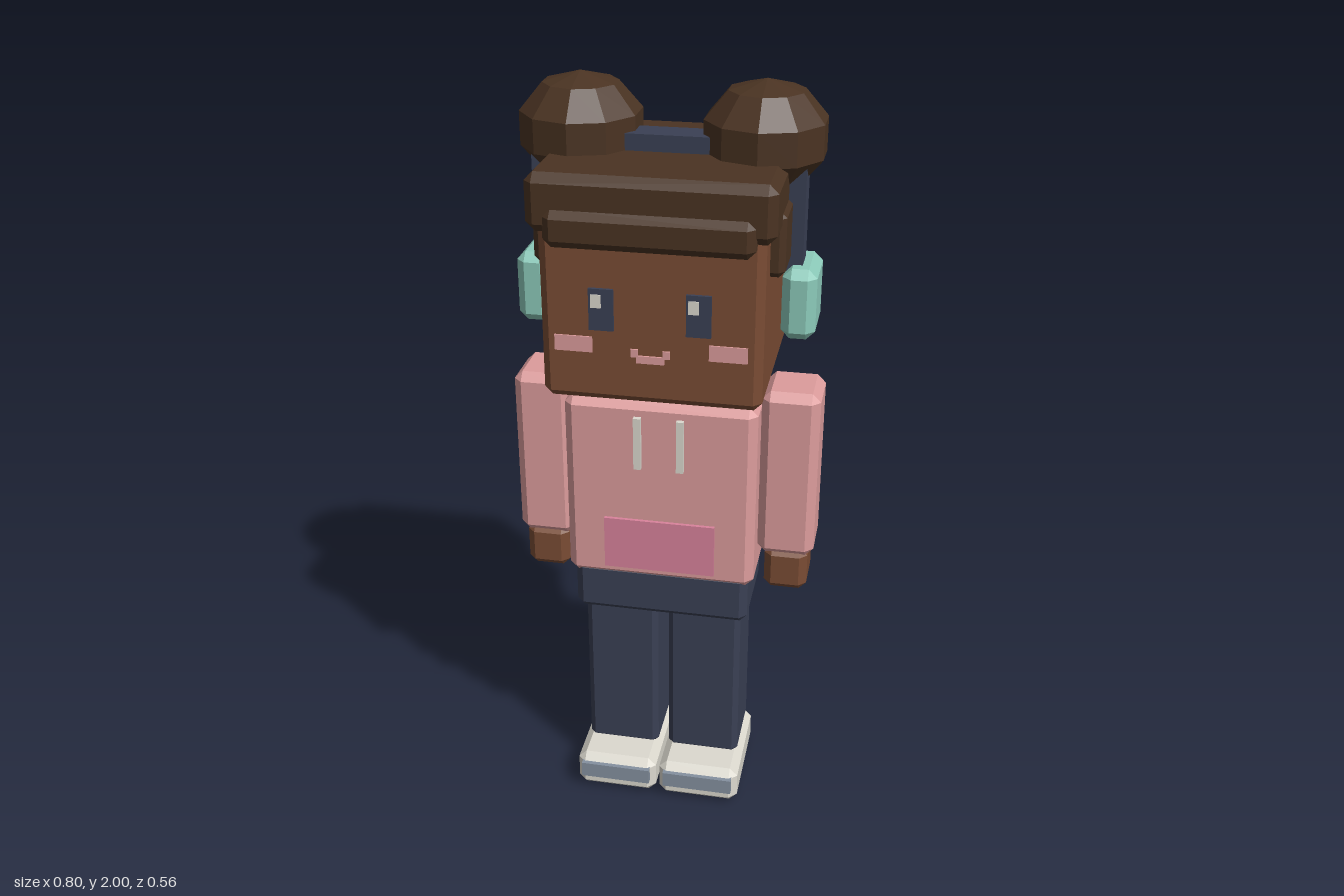
import * as THREE from 'three';
import { ConvexGeometry } from 'three/addons/geometries/ConvexGeometry.js';

const mat = (name, color) => {
  const m = new THREE.MeshStandardMaterial({ color });
  m.name = name;
  return m;
};

// Box with chamfered edges, given by its lower and upper corner
function chamferBox(lo, hi, c) {
  const h = lo.map((v, i) => (hi[i] - v) / 2);
  const pts = [];
  for (const sx of [-1, 1]) for (const sy of [-1, 1]) for (const sz of [-1, 1]) {
    for (let axis = 0; axis < 3; axis++) {
      const p = [sx, sy, sz].map((s, i) => s * (i === axis ? h[i] : h[i] - c));
      pts.push(new THREE.Vector3(...p));
    }
  }
  const g = new ConvexGeometry(pts);
  g.translate(lo[0] + h[0], lo[1] + h[1], lo[2] + h[2]);
  return g;
}

function plainBox(lo, hi) {
  const g = new THREE.BoxGeometry(hi[0] - lo[0], hi[1] - lo[1], hi[2] - lo[2]);
  g.translate((lo[0] + hi[0]) / 2, (lo[1] + hi[1]) / 2, (lo[2] + hi[2]) / 2);
  return g;
}

export function createModel() {
  const group = new THREE.Group();
  const skin = mat('brown skin', 0x7a4c34);
  const hair = mat('dark brown hair', 0x4a3322);
  const pink = mat('pink hoodie', 0xdc9c9c);
  const rose = mat('rose pocket', 0xd9839c);
  const navy = mat('navy', 0x3a4054);
  const teal = mat('teal', 0x8ccaba);
  const white = mat('off white', 0xdcd9cf);
  const slate = mat('slate toe', 0x8591a0);

  const add = (name, geometry, material) => {
    const mesh = new THREE.Mesh(geometry, material);
    mesh.name = name;
    group.add(mesh);
    return mesh;
  };
  // Chamfered part when c > 0, otherwise a sharp box
  const box = (name, m, lo, hi, c = 0) =>
    add(name, c > 0 ? chamferBox(lo, hi, c) : plainBox(lo, hi), m);
  // Same part on both sides, measured on +x
  const pair = (name, m, lo, hi, c = 0) => {
    box('left' + name, m, lo, hi, c);
    box('right' + name, m, [-hi[0], lo[1], lo[2]], [-lo[0], hi[1], hi[2]], c);
  };

  // Shoes, legs and hips
  pair('Shoe', white, [0.005, 0, -0.12], [0.23, 0.11, 0.2], 0.022);
  pair('ShoeToe', slate, [0.02, 0.045, 0.19], [0.215, 0.09, 0.21]);
  pair('Leg', navy, [0.015, 0.1, -0.11], [0.215, 0.6, 0.1], 0.015);
  box('hips', navy, [-0.235, 0.57, -0.145], [0.235, 0.72, 0.13], 0.02);

  // Hoodie, with hood, pocket and drawstrings
  box('torso', pink, [-0.25, 0.69, -0.15], [0.25, 1.215, 0.14], 0.022);
  box('hood', pink, [-0.17, 1.05, -0.25], [0.17, 1.248, -0.14], 0.025);
  box('pocket', rose, [-0.147, 0.727, 0.138], [0.147, 0.875, 0.149]);
  pair('Drawstring', white, [0.046, 1.03, 0.138], [0.065, 1.175, 0.153]);
  pair('Sleeve', pink, [0.25, 0.765, -0.09], [0.4, 1.238, 0.078], 0.022);
  pair('Hand', skin, [0.27, 0.655, -0.08], [0.385, 0.78, 0.07], 0.02);

  // Neck and head
  box('neck', skin, [-0.09, 1.18, -0.09], [0.09, 1.28, 0.09]);
  box('head', skin, [-0.27, 1.26, -0.245], [0.27, 1.79, 0.24], 0.02);

  // Face
  for (const [side, x] of [['left', 0.117], ['right', -0.118]]) {
    box(side + 'Eye', navy, [x - 0.03, 1.45, 0.238], [x + 0.03, 1.555, 0.248]);
    box(side + 'EyeGlint', white, [x - 0.024, 1.508, 0.246], [x + 0.001, 1.541, 0.251]);
  }
  pair('Blush', pink, [0.142, 1.39, 0.238], [0.235, 1.43, 0.244]);
  box('mouth', pink, [-0.034, 1.371, 0.238], [0.034, 1.39, 0.245]);
  pair('MouthCorner', pink, [0.03, 1.386, 0.238], [0.048, 1.406, 0.245]);

  // Hair cap, fringe, sides and back
  box('hairCap', hair, [-0.295, 1.685, -0.278], [0.295, 1.827, 0.26], 0.022);
  box('fringe', hair, [-0.25, 1.655, 0.2], [0.25, 1.747, 0.278], 0.02);
  pair('SideHair', hair, [0.25, 1.575, -0.26], [0.305, 1.735, 0.158], 0.015);
  box('backHair', hair, [-0.29, 1.555, -0.276], [0.29, 1.75, -0.2], 0.018);

  // Faceted buns
  const bun = new THREE.SphereGeometry(0.159, 10, 5);
  bun.rotateY(Math.PI / 2);
  bun.scale(1, 0.85, 1);
  const bunGeometry = bun.toNonIndexed();
  bunGeometry.computeVertexNormals();
  for (const [side, s] of [['left', 1], ['right', -1]]) {
    add(side + 'Bun', bunGeometry, hair).position.set(s * 0.226, 1.861, -0.045);
  }

  // Headphones
  box('headband', navy, [-0.3, 1.81, -0.048], [0.3, 1.868, 0.03]);
  pair('HeadbandArm', navy, [0.295, 1.5, -0.042], [0.335, 1.82, 0.032]);
  pair('EarCup', teal, [0.29, 1.387, -0.097], [0.375, 1.568, 0.082], 0.022);

  return group;
}
